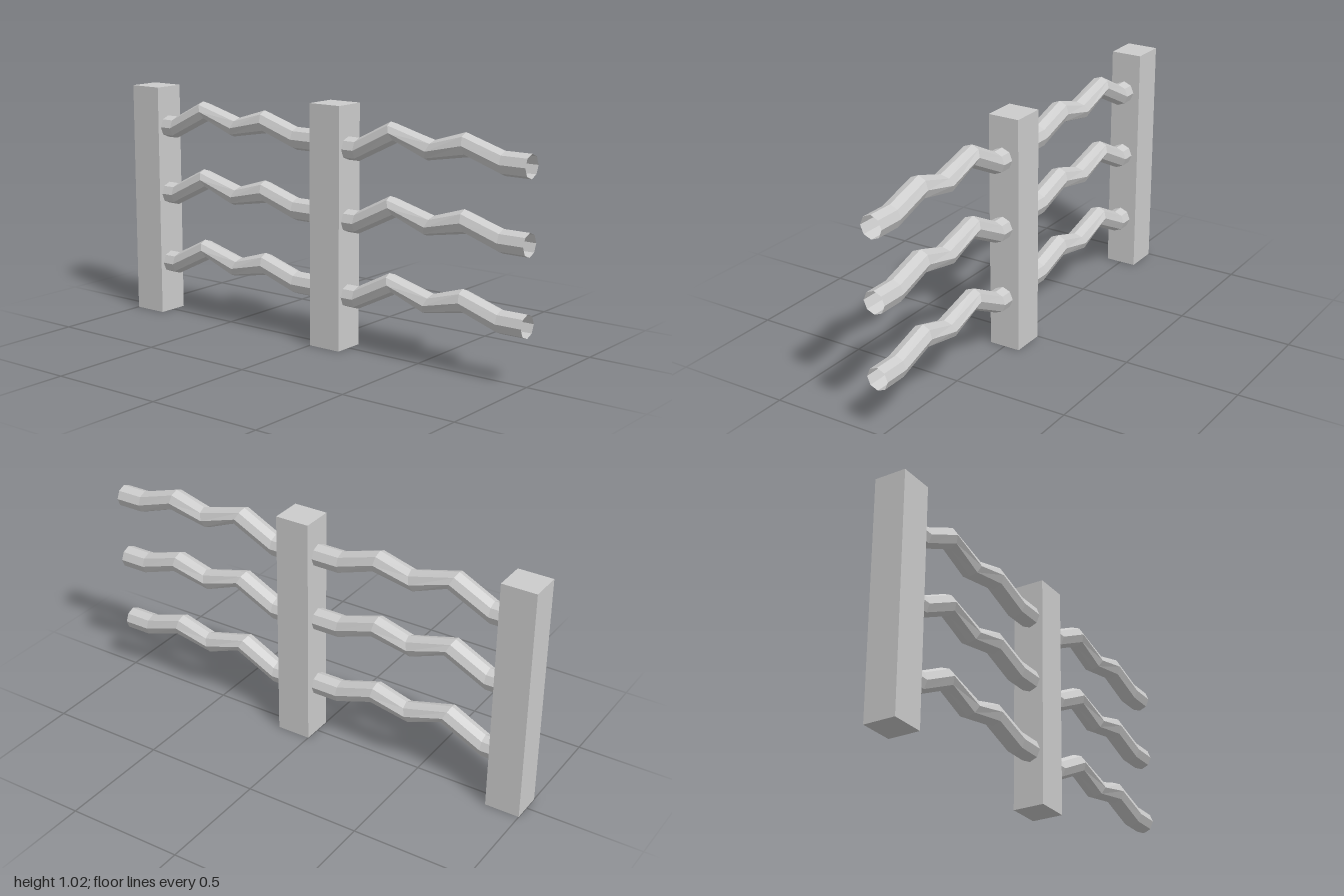
import * as THREE from 'three';

// Rail joints: [topX, topY, bottomX, bottomY], x measured from the post centre line
const JOINTS = [
  [0.15, 0.887, 0.15, 0.792],
  [0.205, 0.887, 0.205, 0.792],
  [0.36, 0.966, 0.398, 0.887],
  [0.57, 0.913, 0.537, 0.829],
  [0.71, 0.956, 0.725, 0.861],
  [0.885, 0.902, 0.885, 0.806],
  [1.0, 0.902, 1.0, 0.806],
];
const SIDES = 8, RAIL_RADIUS = 0.048, RAIL_Z = 0.007;

// Open octagonal tube lofted through the mitred joints
function railGeometry() {
  const positions = [], index = [];
  for (const [tx, ty, bx, by] of JOINTS) {
    for (let i = 0; i < SIDES; i++) {
      const a = (i / SIDES) * Math.PI * 2, c = Math.cos(a) / 2;
      positions.push(
        (tx + bx) / 2 + (tx - bx) * c,
        (ty + by) / 2 + (ty - by) * c,
        RAIL_Z + Math.sin(a) * RAIL_RADIUS
      );
    }
  }
  for (let j = 0; j < JOINTS.length - 1; j++) {
    for (let i = 0; i < SIDES; i++) {
      const a = j * SIDES + i, b = j * SIDES + (i + 1) % SIDES;
      index.push(a, b, a + SIDES, b, b + SIDES, a + SIDES);
    }
  }
  const indexed = new THREE.BufferGeometry();
  indexed.setAttribute('position', new THREE.Float32BufferAttribute(positions, 3));
  indexed.setIndex(index);
  const geometry = indexed.toNonIndexed();
  geometry.computeVertexNormals(); // faceted sides
  return geometry;
}

export function createModel() {
  const grey = new THREE.MeshStandardMaterial({ color: 0xcccccc, side: THREE.DoubleSide });
  grey.name = 'plain grey';

  const postHeight = 1.016;
  const postGeometry = new THREE.BoxGeometry(0.15, postHeight, 0.138);
  const rail = railGeometry();
  const model = new THREE.Group();
  model.name = 'fence';

  // Two identical bays, each a post with three crooked rails
  ['rightBay', 'leftBay'].forEach((name, k) => {
    const bay = new THREE.Group();
    bay.name = name;
    bay.position.x = k - 1;

    const post = new THREE.Mesh(postGeometry, grey);
    post.name = 'post';
    post.position.set(0.075, postHeight / 2, 0);
    bay.add(post);

    [['topRail', 0], ['middleRail', -0.298], ['bottomRail', -0.613]].forEach(([railName, y]) => {
      const mesh = new THREE.Mesh(rail, grey);
      mesh.name = railName;
      mesh.position.y = y;
      bay.add(mesh);
    });
    model.add(bay);
  });
  return model;
}
